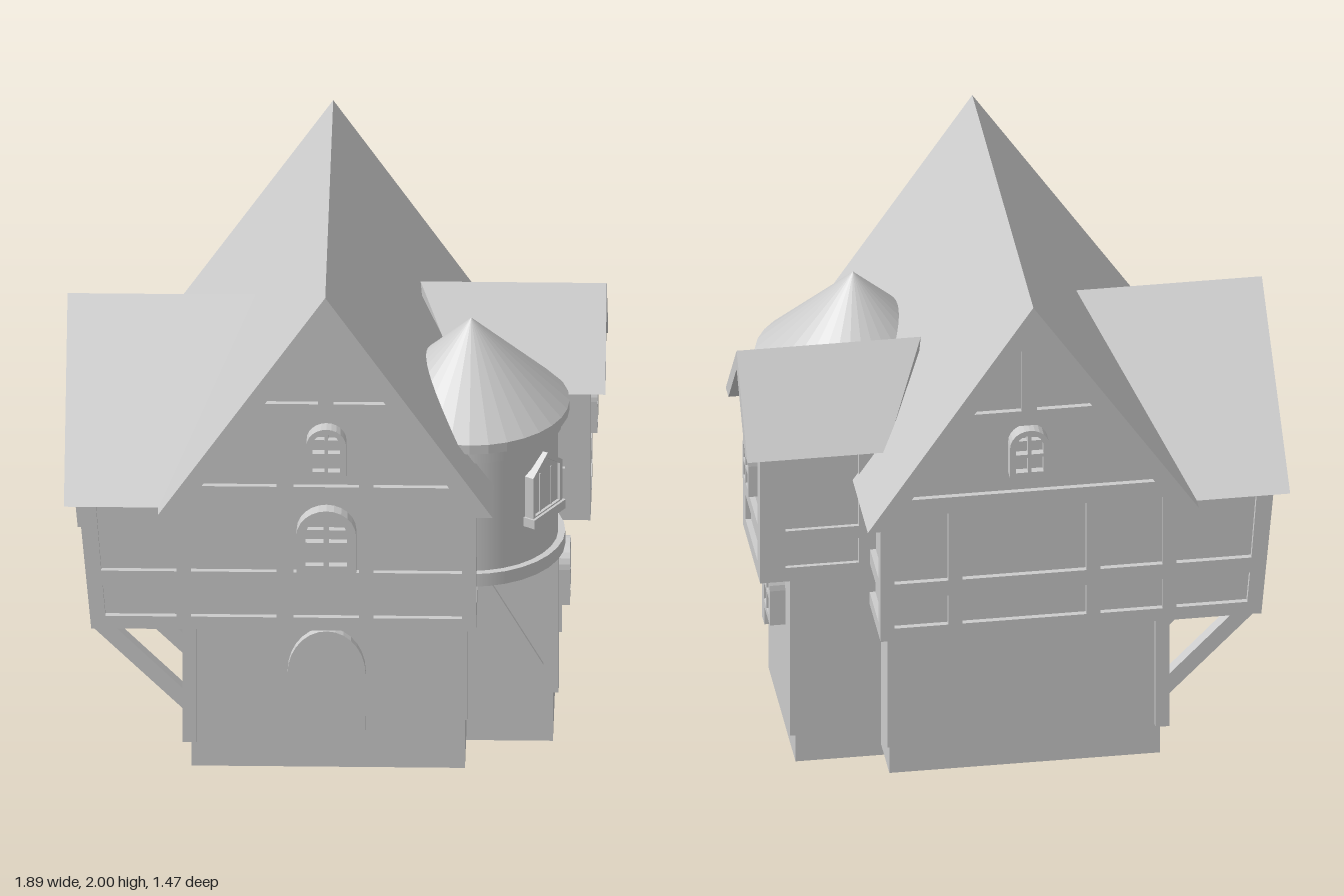
import * as THREE from 'three';

const grey = new THREE.MeshStandardMaterial({ color: 0xcccccc });
const faceted = new THREE.MeshStandardMaterial({ color: 0xcccccc, flatShading: true });
const open = new THREE.MeshStandardMaterial({ color: 0xcccccc, side: THREE.DoubleSide });
const ROOF_X = -0.027, ROOF_Y = 2, ROOF_RUN = 0.674; // main ridge and run per unit of fall

function mesh(name, geometry, material = grey) {
  const m = new THREE.Mesh(geometry, material);
  m.name = name;
  return m;
}

function box(name, x0, x1, y0, y1, z0, z1, material = grey) {
  const m = mesh(name, new THREE.BoxGeometry(x1 - x0, y1 - y0, z1 - z0), material);
  m.position.set((x0 + x1) / 2, (y0 + y1) / 2, (z0 + z1) / 2);
  return m;
}

const polygon = (pts) => new THREE.Shape(pts.map(([x, y]) => new THREE.Vector2(x, y)));
const rect = (x0, x1, y0, y1) => [[x0, y0], [x1, y0], [x1, y1], [x0, y1]];

// Extrudes an outline with polygonal holes from z0 to z1
function slab(outline, holes, z0, z1) {
  const shape = polygon(outline);
  shape.holes = holes.map(polygon);
  return new THREE.ExtrudeGeometry(shape, { depth: z1 - z0, bevelEnabled: false }).translate(0, 0, z0);
}

// Rectangular timber openings from column and row ranges
const grid = (cols, rows) => cols.flatMap(([a, b]) => rows.map(([c, d]) => rect(a, b, c, d)));

function ellipseArc(cx, cy, rx, ry, a0, a1, n = 8) {
  return Array.from({ length: n + 1 }, (_, i) => {
    const a = a0 + (a1 - a0) * i / n;
    return [cx + rx * Math.cos(a), cy + ry * Math.sin(a)];
  });
}

// Arched window with four panes; origin at the middle of its foot, facing +z
function archedWindow(w, h, depth = 0.05) {
  const r = w / 2, spring = h - r * 0.95, t = w * 0.15, bar = w * 0.045;
  const mid = h * 0.46, inner = r - t;
  const arch = [[-r, 0], [r, 0], ...ellipseArc(0, spring, r, h - spring, 0, Math.PI, 12)];
  const holes = [];
  for (const s of [-1, 1]) {
    holes.push(rect(s * bar, s * inner, t, mid - bar));
    holes.push([[s * bar, mid + bar], [s * inner, mid + bar],
      ...ellipseArc(s * bar, spring, s * (inner - bar), h - t - spring, 0, Math.PI / 2, 6)]);
  }
  const g = new THREE.Group();
  g.name = 'window';
  g.add(mesh('windowFrame', slab(arch, holes, 0, depth)));
  g.add(mesh('windowPane', slab(rect(-inner - 0.005, inner + 0.005, t * 0.8, spring + 0.01), [], 0, depth * 0.45)));
  return g;
}

function place(object, x, y, z, turn = 0) {
  object.position.set(x, y, z);
  object.rotation.y = turn;
  return object;
}

// Gable roof shell
const chevron = (half, eave, apex, thick) => {
  const inset = half * thick / (apex - eave);
  return [[-half, eave], [-half + inset, eave], [0, apex - thick], [half - inset, eave], [half, eave], [0, apex]];
};

// Side roof running along x on side s, cut to the slope of the main roof
function sideRoof(name, s, half, eave, apex, thick, inner, outer, z) {
  const geo = slab(chevron(half, eave, apex, thick), [], 0, 1);
  const p = geo.attributes.position;
  for (let i = 0; i < p.count; i++) {
    const cut = s * ROOF_X + (ROOF_Y - p.getY(i)) * ROOF_RUN - 0.01;
    p.setZ(i, p.getZ(i) > 0.5 ? outer : Math.max(cut, inner));
  }
  geo.rotateY(s * Math.PI / 2).translate(0, 0, z);
  geo.computeVertexNormals();
  return mesh(name, geo);
}

function createMainHouse() {
  const g = new THREE.Group();
  g.name = 'mainHouse';

  // Ground floor, open underneath
  const base = box('groundFloor', -0.5, 0.46, 0.045, 0.64, -0.57, 0.57, open);
  const index = Array.from(base.geometry.index.array);
  index.splice(18, 6);
  base.geometry.setIndex(index);
  g.add(base);

  // Upper floor and gable
  g.add(mesh('upperFloor', slab([[-0.83, 0.62], [0.48, 0.62], [0.48, 1.13], [ROOF_X, 1.9],
    [-0.54, 1.13], [-0.875, 1.13]], [], -0.61, 0.61)));

  // Timber frames on front and back
  const outline = [[-0.85, 0.62], [0.5, 0.62], [0.5, 1.14], [ROOF_X, 1.93], [-0.55, 1.14], [-0.895, 1.14]];
  const rows = [[0.67, 0.79], [0.85, 1.125]];
  const leftColumn = [
    [[-0.8, 0.67], [-0.55, 0.67], [-0.55, 0.79], [-0.81, 0.79]],
    [[-0.815, 0.85], [-0.55, 0.85], [-0.55, 1.125], [-0.835, 1.125]],
  ];
  const peak = [
    [[-0.275, 1.52], [-0.055, 1.52], [-0.055, 1.845]],
    [[0, 1.52], [0.22, 1.52], [0, 1.845]],
  ];
  const frontHoles = [
    ...grid([[-0.5, -0.2], [-0.14, 0.09], [0.14, 0.45]], rows),
    [[-0.5, 1.19], [-0.2, 1.19], [-0.2, 1.46], [-0.32, 1.46]],
    rect(-0.14, 0.09, 1.19, 1.46),
    [[0.14, 1.19], [0.445, 1.19], [0.265, 1.46], [0.14, 1.46]],
  ];
  const backHoles = [
    ...grid([[-0.5, -0.28], [-0.23, 0.21], [0.26, 0.45]], rows),
    [[-0.5, 1.19], [0.445, 1.19], [0.265, 1.46], [-0.32, 1.46]],
  ];
  g.add(mesh('frontTimberFrame', slab(outline, [...leftColumn, ...peak, ...frontHoles], 0.6, 0.63)));
  g.add(mesh('backTimberFrame', slab(outline, [...leftColumn, ...peak, ...backHoles], -0.63, -0.6)));

  // Right wall frame
  const right = mesh('rightTimberFrame', slab(rect(-0.63, 0.63, 0.62, 1.14),
    grid([[-0.58, -0.03], [0.03, 0.58]], [[0.67, 0.79], [0.85, 1.12]]), 0, 0.03));
  g.add(place(right, 0.47, 0, 0, Math.PI / 2));

  // Windows
  g.add(place(archedWindow(0.21, 0.25), -0.025, 0.86, 0.61));
  g.add(place(archedWindow(0.14, 0.19), -0.025, 1.245, 0.61));
  g.add(place(archedWindow(0.14, 0.19), -0.025, 1.265, -0.61, Math.PI));

  // Door arch
  const arch = [[-0.035, 0.175], [0, 0.21], ...ellipseArc(0.1, 0.42, 0.1, 0.12, Math.PI, 0, 14),
    [0.2, 0.21], [0.235, 0.175], ...ellipseArc(0.1, 0.43, 0.137, 0.17, 0, Math.PI, 14)];
  g.add(place(mesh('doorArch', slab(arch, [], 0, 0.04)), -0.125, 0, 0.56));

  // Roof
  g.add(place(mesh('mainRoof', slab(chevron(0.587, 1.13, 2, 0.11), [], -0.73, 0.735)), ROOF_X, 0, 0));

  // Corner posts
  g.add(box('frontPost', 0.42, 0.47, 0.25, 0.63, 0.54, 0.595));
  g.add(box('backPost', 0.42, 0.47, 0.165, 0.63, -0.595, -0.54));

  // Posts and braces under the left overhang
  for (const z of [-0.57, -0.2, 0.2, 0.595]) {
    g.add(box('leftPost', -0.53, -0.48, 0.165, 0.63, z - 0.025, z + 0.025));
    g.add(mesh('leftBrace', slab([[-0.85, 0.625], [-0.53, 0.3], [-0.53, 0.38], [-0.77, 0.625]],
      [], z - 0.025, z + 0.025)));
  }
  return g;
}

// Outward leaning gable on the left
function createLeftGable() {
  const g = new THREE.Group();
  g.name = 'leftGable';
  const wall = new THREE.Group();
  wall.name = 'leaningWall';
  wall.add(mesh('gableWall', slab([[-0.61, 0], [0.61, 0], [0.61, 0.51], [0, 0.95], [-0.61, 0.51]], [], -0.25, 0)));
  wall.add(mesh('gableTimberFrame', slab(rect(-0.63, 0.63, 0, 0.53),
    grid([[-0.58, -0.03], [0.03, 0.58]], [[0.05, 0.17], [0.23, 0.49]]), -0.01, 0.02)));
  for (const u of [-0.26, 0.26]) wall.add(place(archedWindow(0.19, 0.23), u, 0.26, 0));
  wall.rotation.order = 'YXZ';
  wall.rotation.x = 0.088;
  g.add(place(wall, -0.83, 0.62, 0, -Math.PI / 2));
  g.add(sideRoof('leftRoof', -1, 0.68, 1.13, 1.615, 0.065, 0, 0.945, 0));
  return g;
}

// Wing with its overhanging gabled room on the right
function createRightWing() {
  const g = new THREE.Group();
  g.name = 'rightWing';
  g.add(box('wingBase', 0.015, 0.763, 0, 0.75, -0.37, 0.28));
  g.add(box('wingFrontPost', 0.73, 0.783, 0.2, 0.75, 0.24, 0.295));
  g.add(box('wingBackPost', 0.73, 0.783, 0.11, 0.75, -0.375, -0.32));
  g.add(mesh('wingBrace', slab([[0.46, 0.69], [0.7, 0.225], [0.73, 0.235], [0.73, 0.31], [0.48, 0.75], [0.46, 0.75]],
    [], 0.27, 0.295)));
  g.add(place(archedWindow(0.17, 0.22, 0.055), 0.763, 0.415, -0.04, Math.PI / 2));

  // Gabled room
  const room = new THREE.Group();
  room.name = 'gabledRoom';
  room.add(mesh('roomWalls', slab([[-0.19, 0.745], [0.19, 0.745], [0.19, 1.29], [0, 1.52], [-0.19, 1.29]], [], -0.55, 0)));
  room.add(mesh('roomTimberFrame', slab([[-0.205, 0.745], [0.205, 0.745], [0.205, 1.29], [0.15, 1.34], [-0.15, 1.34], [-0.205, 1.29]],
    grid([[-0.145, 0.145]], [[0.8, 0.9], [0.95, 1.28]]), -0.01, 0.02)));
  room.add(place(archedWindow(0.14, 0.19, 0.042), 0, 1.02, 0));
  g.add(place(room, 0.87, 0, -0.175, Math.PI / 2));
  for (const z of [-0.38, 0.005]) {
    g.add(mesh('roomSideFrame', slab(rect(0.48, 0.885, 0.745, 1.29),
      grid([[0.54, 0.8]], [[0.8, 0.9], [0.95, 1.26]]), z, z + 0.025)));
  }
  g.add(sideRoof('wingRoof', 1, 0.26, 1.275, 1.58, 0.075, 0.29, 0.943, -0.175));
  return g;
}

function createTurret() {
  const g = new THREE.Group();
  g.name = 'turret';
  const drum = (name, r0, r1, y0, y1, mat) => {
    const m = mesh(name, new THREE.CylinderGeometry(r1, r0, y1 - y0, 32), mat);
    m.position.y = (y0 + y1) / 2;
    g.add(m);
  };
  drum('turretFoot', 0.33, 0.33, 0.745, 0.795);
  drum('turretWall', 0.305, 0.305, 0.78, 1.29);
  drum('turretCollar', 0.32, 0.32, 1.23, 1.29);
  drum('turretEave', 0.345, 0.345, 1.28, 1.315, faceted);
  drum('turretRoof', 0.345, 0, 1.315, 1.64, faceted);

  // Pointed window with shallow panel, thin bars and sill
  const win = new THREE.Group();
  win.name = 'turretWindow';
  const outline = (w, y0, y1, y2) => [[-w, y0], [w, y0], [w, y1], [0, y2], [-w, y1]];
  win.add(mesh('windowPanel', slab(outline(0.08, 0.95, 1.13, 1.19), [], 0.22, 0.314)));
  win.add(mesh('windowFrame', slab(outline(0.09, 0.95, 1.135, 1.2),
    [outline(0.075, 0.98, 1.125, 1.18)], 0.25, 0.325)));
  win.add(box('windowSill', -0.097, 0.097, 0.94, 0.975, 0.25, 0.335));
  for (const x of [-0.033, 0.033]) win.add(box('windowBar', x - 0.004, x + 0.004, 0.98, 1.13, 0.29, 0.317));
  win.rotation.y = 0.99;
  g.add(win);
  return place(g, 0.475, 0, 0.2);
}

export function createModel() {
  const model = new THREE.Group();
  model.name = 'timberHouse';
  model.add(createMainHouse(), createLeftGable(), createRightWing(), createTurret());
  return model;
}
